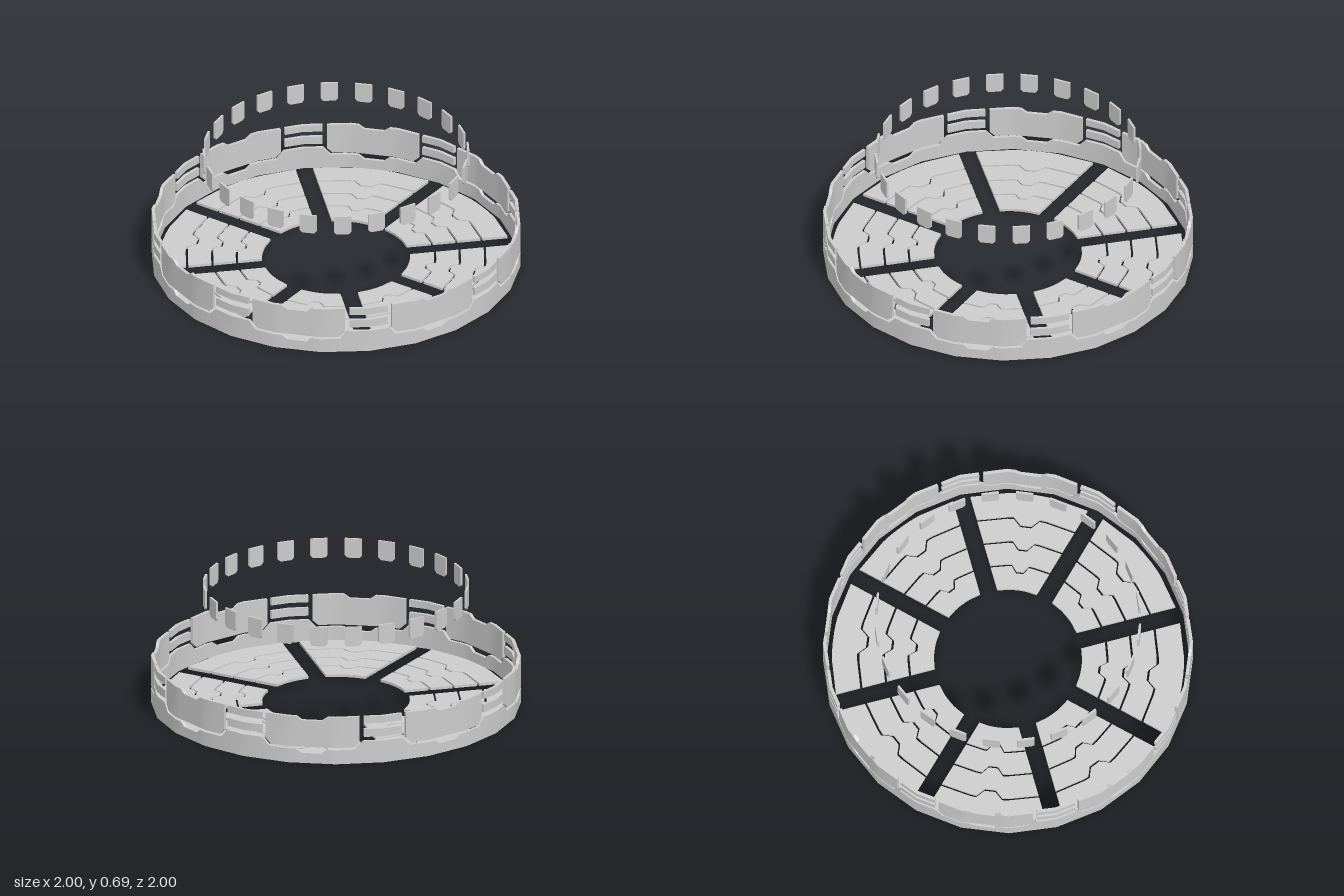
import * as THREE from 'three';
import { toCreasedNormals } from 'three/addons/utils/BufferGeometryUtils.js';

const RAD = Math.PI / 180;
const STEP = 15; // the rings are 24-sided
const WALL = 0.018;
const mat = new THREE.MeshStandardMaterial({ color: 0xcccccc });

// Radius of a 24-sided ring at an angle given in degrees
function ringRadius(r, deg) {
  const m = ((deg % STEP) + STEP) % STEP;
  return r * Math.cos(7.5 * RAD) / Math.cos((m - 7.5) * RAD);
}

// Curved wall from stations [degrees, bottom, top]
function wallGeometry(stations, closed = false) {
  const pos = [], index = [];
  for (const [deg, y0, y1] of stations) {
    const s = Math.sin(deg * RAD), c = Math.cos(deg * RAD);
    const o = ringRadius(1, deg), i = ringRadius(1 - WALL, deg);
    for (const [r, y] of [[o, y0], [o, y1], [i, y1], [i, y0]]) pos.push(r * s, y, r * c);
  }
  const n = stations.length;
  for (let i = 0; i < (closed ? n : n - 1); i++) {
    const a = i * 4, b = ((i + 1) % n) * 4;
    for (let k = 0; k < 4; k++) {
      const l = (k + 1) % 4;
      index.push(a + k, b + k, b + l, a + k, b + l, a + l);
    }
  }
  if (!closed) {
    const e = (n - 1) * 4;
    index.push(0, 1, 2, 0, 2, 3, e, e + 2, e + 1, e, e + 3, e + 2);
  }
  const g = new THREE.BufferGeometry();
  g.setAttribute('position', new THREE.Float32BufferAttribute(pos, 3));
  g.setIndex(index);
  return toCreasedNormals(g, 0.4);
}

// One edge line across a floor wedge, with an inward jog in the middle
function floorLine(r, dip, gap = 0) {
  const end = Math.asin(0.048 / r) / RAD;
  const rr = r + gap, low = rr - dip;
  return [[end, rr], [15, rr], [17.5, rr], [20.3, low], [24.7, low], [27.5, rr], [30, rr], [45 - end, rr]]
    .map(([deg, q]) => new THREE.Vector2(q * Math.sin(deg * RAD), q * Math.cos(deg * RAD)));
}

export function createModel() {
  const root = new THREE.Group();
  const add = (parent, name, geometry, turn = 0) => {
    const m = new THREE.Mesh(geometry, mat);
    m.name = name;
    m.rotation.y = turn * RAD;
    parent.add(m);
    return m;
  };
  const group = (name) => {
    const g = new THREE.Group();
    g.name = name;
    root.add(g);
    return g;
  };

  // Base ring with raised and notched top edge
  const edge = [[0, 0.125], [6.3, 0.125], [8.7, 0.08], [15, 0.08], [17.5, 0.08], [19.3, 0.057],
    [25.7, 0.057], [27.5, 0.08], [30, 0.08], [36.3, 0.08], [38.7, 0.125]];
  const base = [];
  for (let k = 0; k < 8; k++) for (const [d, y] of edge) base.push([d + 45 * k, 0, y]);
  add(root, 'baseRing', wallGeometry(base, true));

  // Wall panels, with pairs of bars in the gaps between them
  const half = [[15, 0.122, 0.267], [13.2, 0.093, 0.267], [7.5, 0.093, 0.267], [5, 0.093, 0.267], [3.2, 0.093, 0.245]];
  const panel = wallGeometry([
    ...half.map(([d, a, b]) => [22.5 - d, a, b]),
    ...half.slice().reverse().map(([d, a, b]) => [22.5 + d, a, b]),
  ]);
  const bars = [[0.15, 0.195], [0.227, 0.267]].map(([a, b]) => wallGeometry([[-6.1, a, b], [0, a, b], [6.1, a, b]]));
  const walls = group('wallPanels'), gapBars = group('gapBars');
  for (let k = 0; k < 8; k++) {
    add(walls, 'wallPanel', panel, 45 * k);
    for (const bar of bars) add(gapBars, 'gapBar', bar, 45 * k);
  }

  // Floor wedges, each split into four slabs by narrow jogged grooves
  const lines = [[0.4, 0], [0.538, 0.04], [0.672, 0.043], [0.81, 0.045], [0.952, 0]];
  const floor = group('floor');
  for (let i = 0; i < 4; i++) {
    const [r0, d0] = lines[i], [r1, d1] = lines[i + 1];
    const inner = floorLine(r0, d0, i > 0 ? 0.006 : 0);
    const outer = floorLine(r1, d1, i < 3 ? -0.006 : 0);
    const slab = new THREE.ExtrudeGeometry(new THREE.Shape([...inner, ...outer.reverse()]),
      { depth: 0.015, bevelEnabled: false });
    slab.rotateX(-Math.PI / 2);
    for (let k = 0; k < 8; k++) add(floor, 'floorSlab', slab, 45 * k);
  }

  // Floating ring of small tabs with clipped lower corners
  const w = 0.047, c = 0.014;
  const outline = [[-w, 0.685], [-w, 0.575 + c], [-w + c, 0.575], [w - c, 0.575], [w, 0.575 + c], [w, 0.685]];
  const tab = new THREE.ExtrudeGeometry(new THREE.Shape(outline.map(([x, y]) => new THREE.Vector2(x, y))),
    { depth: 0.012, bevelEnabled: false });
  tab.translate(0, 0, 0.708);
  const tabs = group('floatingTabs');
  for (let k = 0; k < 24; k++) add(tabs, 'tab', tab, 7.5 + STEP * k);

  return root;
}
